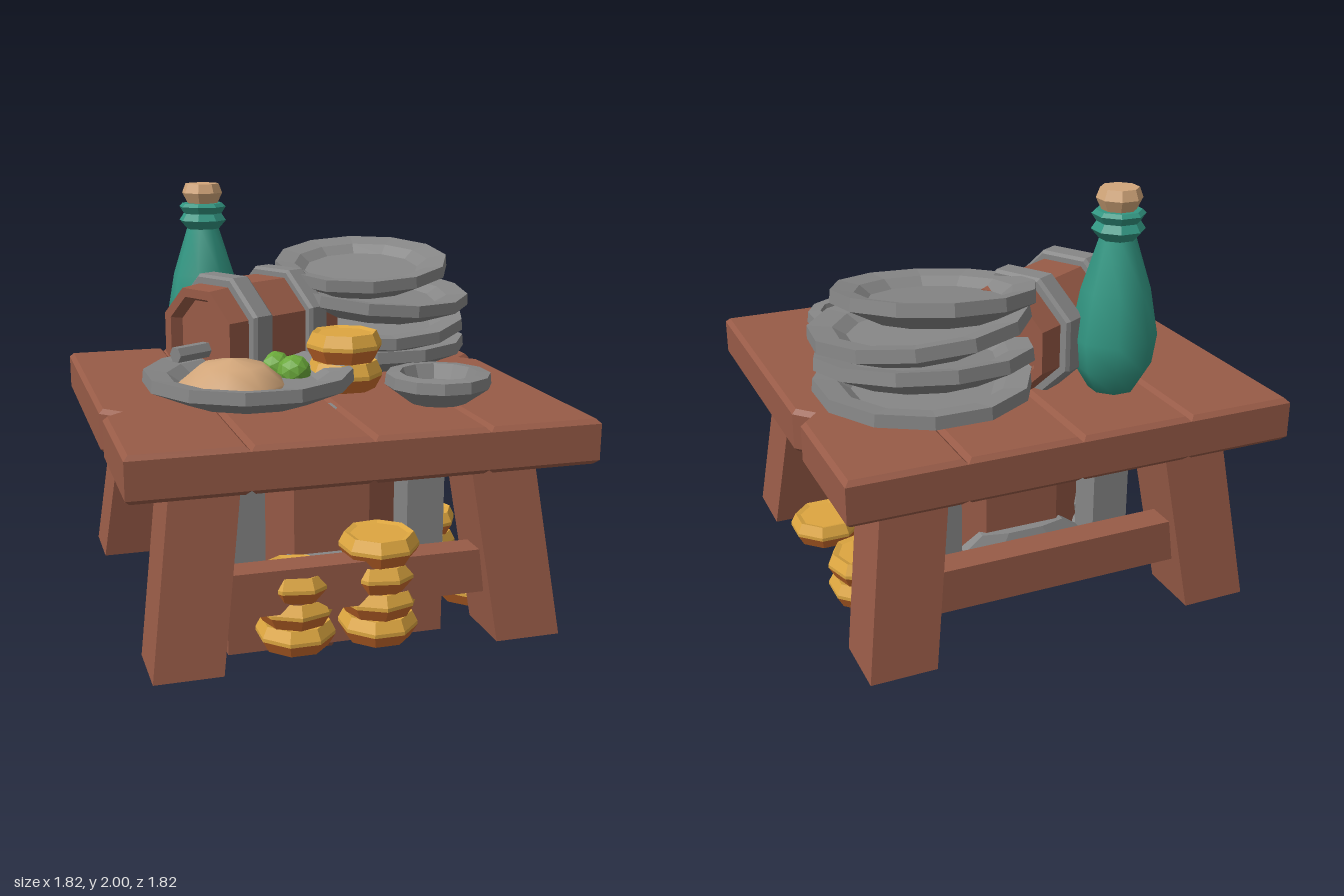
import * as THREE from 'three';

const mat = (name, color) => {
  const m = new THREE.MeshStandardMaterial({ color });
  m.name = name;
  return m;
};

// Faceted normals for the low-poly look
function flat(geo) {
  const g = geo.index ? geo.toNonIndexed() : geo;
  g.computeVertexNormals();
  return g;
}

const pts = (list) => list.map(([x, y]) => new THREE.Vector2(x, y));
const smoothLathe = (profile, sides = 8) => new THREE.LatheGeometry(pts(profile), sides).rotateY(Math.PI / sides);
const lathe = (profile, sides) => flat(smoothLathe(profile, sides));

// Solid slab from an outline in x/z, with chamfered edges, height h from y = 0
function slab(outline, h, bevel) {
  const g = new THREE.ExtrudeGeometry(new THREE.Shape(pts(outline)), {
    depth: h - 2 * bevel, bevelEnabled: true, bevelThickness: bevel,
    bevelSize: bevel, bevelOffset: -bevel, bevelSegments: 1,
  });
  return flat(g.translate(0, 0, bevel).rotateX(-Math.PI / 2));
}

const chamferBox = (w, h, d, bevel) =>
  slab([[-w / 2, -d / 2], [w / 2, -d / 2], [w / 2, d / 2], [-w / 2, d / 2]], h, bevel).translate(0, -h / 2, 0);

export function createModel() {
  const root = new THREE.Group();
  root.name = 'laidTable';
  const wood = mat('wood', 0x985b47);
  const metal = mat('greyMetal', 0x868686);
  const gold = mat('gold', 0xdda640);
  const orange = mat('orange', 0xcc6c2c);
  const glass = mat('tealGlass', 0x329682);
  const tan = mat('tan', 0xd2a67a);
  const green = mat('green', 0x6aa83a);

  function add(name, geo, material, x = 0, y = 0, z = 0, parent = root) {
    const m = new THREE.Mesh(geo, material);
    m.name = name;
    m.position.set(x, y, z);
    parent.add(m);
    return m;
  }

  // Table planks; the outer two have a chip in the edge
  const edges = [-0.91, -0.46, 0, 0.455, 0.91];
  for (let i = 0; i < 4; i++) {
    const a = edges[i], b = edges[i + 1];
    const o = [[a, -0.91], [b, -0.91]];
    if (i === 3) o.push([b, 0.24], [b - 0.055, 0.3], [b, 0.36]);
    o.push([b, 0.91], [a, 0.91]);
    if (i === 0) o.push([a, -0.23], [a + 0.06, -0.29], [a, -0.34]);
    add('plank', slab(o, 0.18, 0.018), wood, 0, 1.01, 0);
  }

  // Splayed legs and the two stretchers
  for (const sx of [-1, 1]) for (const sz of [-1, 1]) {
    const g = new THREE.BoxGeometry(0.27, 0.75, 0.27);
    const p = g.attributes.position;
    for (let i = 0; i < p.count; i++) {
      const s = -p.getY(i) / 0.75 * 0.1;
      p.setX(i, p.getX(i) + sx * s);
      p.setZ(i, p.getZ(i) + sz * s);
    }
    add('leg', flat(g), wood, sx * 0.638, 0.655, sz * 0.638);
  }
  for (const s of [-1, 1]) add('stretcher', flat(new THREE.BoxGeometry(1.06, 0.18, 0.12)), wood, 0, 0.55, s * 0.67);

  // Metal cage around a wooden drum under the table
  const cage = new THREE.Group();
  cage.name = 'cage';
  root.add(cage);
  for (const s of [-1, 1]) {
    for (const t of [-1, 1]) add('cagePost', chamferBox(0.16, 0.9, 0.16, 0.04), metal, s * 0.38, 0.73, t * 0.38, cage);
    for (const y of [0.36, 1.1]) {
      add('cageBeamAcross', chamferBox(0.9, 0.16, 0.16, 0.04), metal, 0, y, s * 0.38, cage);
      add('cageBeamAlong', chamferBox(0.16, 0.16, 0.9, 0.04), metal, s * 0.38, y, 0, cage);
    }
  }
  add('drum', flat(new THREE.CylinderGeometry(0.42, 0.42, 0.84, 8).rotateY(Math.PI / 8)), wood, 0, 0.74, 0, cage);
  add('drumBase', flat(new THREE.CylinderGeometry(0.23, 0.23, 0.02, 8).rotateY(Math.PI / 8)), metal, 0, 0.315, 0, cage);

  // Flattened bosses at the top and bottom of each cage side
  const boss = lathe([[0, 0], [0.22, 0], [0.29, 0.07], [0.2, 0.13], [0, 0.13]]).scale(1, 1, 0.23);
  for (let i = 0; i < 4; i++) {
    const side = new THREE.Group();
    side.name = 'cageSide';
    side.rotation.y = i * Math.PI / 2;
    cage.add(side);
    add('lowerBoss', boss, metal, 0, 0.43, 0.385, side);
    add('upperBoss', boss, metal, 0, 0.913, 0.385, side);
  }

  // Shelf with its bracket
  add('shelf', flat(new THREE.BoxGeometry(0.92, 0.18, 0.467)), wood, 0, 0.28, 0.2335);
  const bracket = new THREE.ExtrudeGeometry(
    new THREE.Shape(pts([[0, 0], [0.11, 0], [0.31, 0.19], [0, 0.19]])), { depth: 0.18, bevelEnabled: false });
  add('shelfBracket', flat(bracket.translate(0, 0, -0.09).rotateY(-Math.PI / 2)), wood);

  // Stacks of fat coins: gold faces, orange underside of the rim
  function coins(name, x, y, z, count, h = 0.108) {
    const r = 0.16;
    for (let i = 0; i < count; i++) {
      const c = new THREE.Group();
      c.name = name;
      c.position.set(x, y + i * h, z);
      c.rotation.y = i * 0.3;
      root.add(c);
      add('coinBase', lathe([[0, 0], [r * 0.82, 0]]), gold, 0, 0, 0, c);
      add('coinLower', lathe([[r * 0.82, 0], [r, h * 0.46]]), orange, 0, 0, 0, c);
      add('coinUpper', lathe([[r, h * 0.46], [r, h * 0.6], [r * 0.86, h], [r * 0.72, h * 0.93], [0, h * 0.93]]),
        gold, 0, 0, 0, c);
    }
  }
  coins('shortCoinStack', -0.22, 0.28, 0.615, 3);
  coins('tallCoinStack', 0.12, 0.28, 0.625, 4, 0.11);
  coins('sideCoinStack', 0.63, 0.28, -0.21, 2);
  coins('singleCoin', 0.64, 0.28, 0.35, 1);
  coins('tableCoinStack', 0.13, 1.19, 0.13, 2, 0.12);

  // Plates: one with food, a leaning stack of four, and a small bowl
  const plate = lathe([[0, 0], [0.27, 0], [0.43, 0.07], [0.425, 0.12], [0.33, 0.105], [0.28, 0.07], [0, 0.07]], 12);
  add('servingPlate', plate, metal, -0.3, 1.19, 0.2);
  const stack = [
    [0.415, 1.19, -0.36, 0, 0, 1],
    [0.42, 1.305, -0.385, 0.13, 0.03, 1],
    [0.42, 1.425, -0.36, 0.11, -0.07, 1],
    [0.375, 1.545, -0.39, 0.1, 0.06, 0.92],
  ];
  stack.forEach(([x, y, z, rx, rz, size], i) => {
    const p = add('stackedPlate', plate, metal, x, y, z);
    p.rotation.set(rx, i * 0.2, rz);
    p.scale.set(size, 1, size);
  });
  add('smallBowl', lathe([[0, 0], [0.12, 0], [0.215, 0.07], [0.21, 0.115], [0.155, 0.12], [0.13, 0.06], [0, 0.06]], 12),
    metal, 0.42, 1.19, 0.46);

  // Bread and greens
  add('bread', smoothLathe([[0.2, 0], [0.215, 0.03], [0.13, 0.1], [0, 0.125]], 9), tan, -0.38, 1.245, 0.26);
  for (const [x, z] of [[-0.15, 0.06], [-0.095, 0.155]])
    add('greens', flat(new THREE.IcosahedronGeometry(0.072, 1)), green, x, 1.275, z);

  // Keg lying on its side, axis turned in plan
  const keg = new THREE.Group();
  keg.name = 'keg';
  keg.position.set(-0.18, 1.395, -0.22);
  keg.rotation.y = Math.PI / 6;
  root.add(keg);
  const alongX = (g) => g.rotateZ(-Math.PI / 2);
  add('kegBody', alongX(lathe([[0, -0.27], [0.16, -0.27], [0.18, -0.32], [0.22, -0.32], [0.235, -0.14],
    [0.235, 0.14], [0.22, 0.33], [0.18, 0.33], [0.16, 0.27], [0, 0.27]])), wood, 0, 0, 0, keg);
  for (const s of [-1, 1])
    add('kegBand', alongX(lathe([[0.2, -0.055], [0.258, -0.055], [0.27, -0.04], [0.27, 0.04], [0.258, 0.055], [0.2, 0.055]])),
      metal, s * 0.165, 0, 0, keg);
  add('kegTap', alongX(flat(new THREE.CylinderGeometry(0.035, 0.035, 0.18, 6))), metal, -0.35, -0.055, 0, keg);

  // Bottle with cork
  add('bottle', smoothLathe([[0, 0], [0.095, 0], [0.155, 0.1], [0.172, 0.22], [0.137, 0.41], [0.07, 0.62]]),
    glass, -0.33, 1.19, -0.515);
  add('bottleRing', lathe([[0.07, 0], [0.105, 0.04], [0.085, 0.07], [0.105, 0.1], [0.09, 0.115], [0, 0.115]]),
    glass, -0.33, 1.8, -0.515);
  add('cork', lathe([[0.065, 0], [0.09, 0.05], [0.075, 0.09], [0, 0.09]]), tan, -0.33, 1.91, -0.515);

  return root;
}
